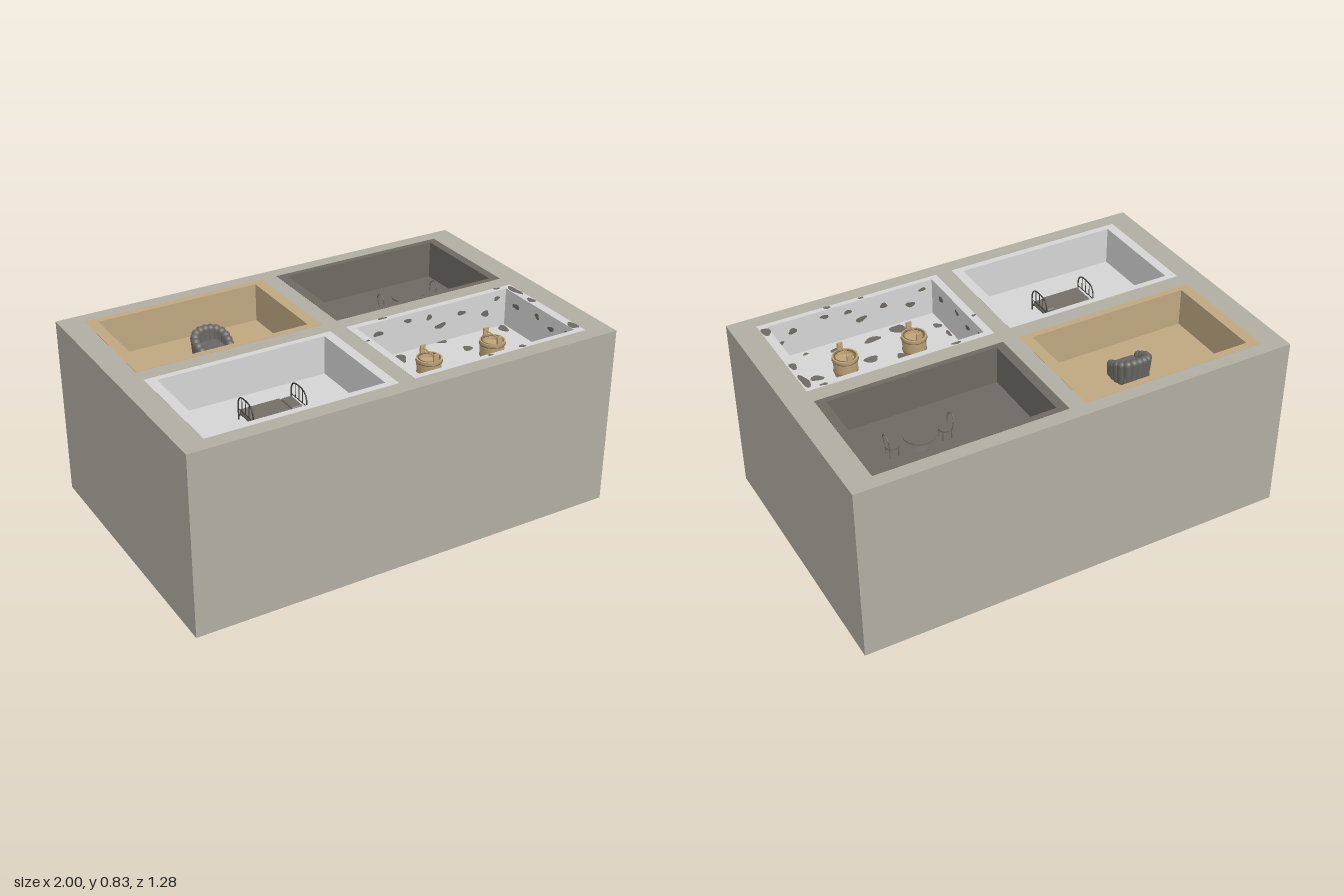
import * as THREE from 'three';
import { RoundedBoxGeometry } from 'three/addons/geometries/RoundedBoxGeometry.js';

const TOP = 0.83, FLOOR = 0.655;

const mat = (name, color, side = THREE.FrontSide) => {
  const m = new THREE.MeshStandardMaterial({ color, side });
  m.name = name;
  return m;
};

function add(parent, name, geo, material, x = 0, y = 0, z = 0) {
  const m = new THREE.Mesh(geo, material);
  m.name = name;
  m.position.set(x, y, z);
  parent.add(m);
  return m;
}

function group(parent, name, x = 0, y = 0, z = 0) {
  const g = new THREE.Group();
  g.name = name;
  g.position.set(x, y, z);
  parent.add(g);
  return g;
}

// Rectangle [x0, x1, z0, z1] as corner points (shape y is -z)
const rect = ([x0, x1, z0, z1]) =>
  [[x0, -z1], [x1, -z1], [x1, -z0], [x0, -z0]].map(([x, y]) => new THREE.Vector2(x, y));

// Upright rectangular frame with holes, from y0 to y1
function frame(outer, holes, y0, y1) {
  const s = new THREE.Shape(rect(outer));
  holes.forEach(h => s.holes.push(new THREE.Path(rect(h))));
  return new THREE.ExtrudeGeometry(s, { depth: y1 - y0, bevelEnabled: false })
    .rotateX(-Math.PI / 2).translate(0, y0, 0);
}

const tube = (pts, r, n = 24) => new THREE.TubeGeometry(
  new THREE.CatmullRomCurve3(pts.map(p => new THREE.Vector3(...p))), n, r, 8);

// Irregular flat patch in the xy plane
function patch(rx, ry, seed) {
  const pts = [];
  for (let i = 0; i < 14; i++) {
    const a = i / 14 * Math.PI * 2;
    const k = 1 + 0.16 * Math.sin(2 * a + seed * 1.7) + 0.13 * Math.sin(3 * a + seed * 2.9);
    pts.push(new THREE.Vector2(Math.cos(a) * rx * k, Math.sin(a) * ry * k));
  }
  return new THREE.ShapeGeometry(new THREE.Shape(pts));
}

// Scalloped tub armchair facing +z
function armchair(parent, m) {
  const g = group(parent, 'armchair', -0.43, FLOOR, -0.313);
  add(g, 'chairBase', new RoundedBoxGeometry(0.13, 0.04, 0.115, 3, 0.008), m, 0, 0.022, 0.005);
  add(g, 'seatCushion', new RoundedBoxGeometry(0.1, 0.028, 0.105, 4, 0.011), m, 0, 0.054, 0.013);
  const path = new THREE.CatmullRomCurve3([[-0.066, 0.046], [-0.068, 0], [-0.05, -0.037], [0, -0.05],
    [0.05, -0.037], [0.068, 0], [0.066, 0.046]].map(([x, z]) => new THREE.Vector3(x, 0, z)));
  for (let i = 0; i <= 12; i++) {
    const p = path.getPointAt(i / 12), lift = Math.sin(i / 12 * Math.PI);
    const h = 0.085 + 0.048 * lift;
    const roll = add(g, 'backRoll', new THREE.CapsuleGeometry(0.02, h - 0.04, 6, 16), m, p.x, h / 2, p.z);
    roll.rotation.set(p.z < 0 ? p.z * 2 : 0, 0, -p.x * 1.2);
  }
}

// Single bed along x with metal end frames
function bed(parent, frameMat, cloth) {
  const g = group(parent, 'bed', -0.457, FLOOR, 0.29);
  add(g, 'mattress', new RoundedBoxGeometry(0.235, 0.022, 0.125, 3, 0.008), cloth, 0, 0.03, 0);
  add(g, 'blanket', new RoundedBoxGeometry(0.185, 0.024, 0.134, 3, 0.008), cloth, -0.025, 0.032, 0);
  add(g, 'pillow', new RoundedBoxGeometry(0.05, 0.016, 0.095, 4, 0.008), cloth, 0.088, 0.045, 0);
  for (const s of [-1, 1]) {
    const end = group(g, s > 0 ? 'headFrame' : 'footFrame', s * 0.121, 0, 0);
    add(end, 'arch', tube([[0, 0, -0.062], [0, 0.08, -0.062], [0, 0.106, -0.045], [0, 0.114, 0],
      [0, 0.106, 0.045], [0, 0.08, 0.062], [0, 0, 0.062]], 0.003, 40), frameMat);
    add(end, 'crossbar', new THREE.CylinderGeometry(0.002, 0.002, 0.124, 8).rotateX(Math.PI / 2), frameMat, 0, 0.05, 0);
    for (const z of [-0.03, 0, 0.03])
      add(end, 'spindle', new THREE.CylinderGeometry(0.0017, 0.0017, 0.06, 6), frameMat, 0, 0.08, z);
    add(g, 'sideRail', new THREE.BoxGeometry(0.24, 0.008, 0.005), frameMat, 0, 0.02, s * 0.062);
  }
}

// Round table with two bistro chairs
function diningSet(parent, m) {
  const table = group(parent, 'table', 0.56, FLOOR, -0.3);
  add(table, 'tableTop', new THREE.CylinderGeometry(0.068, 0.068, 0.006, 40), m, 0, 0.06, 0);
  add(table, 'tableStem', new THREE.CylinderGeometry(0.006, 0.006, 0.058, 12), m, 0, 0.029, 0);
  add(table, 'tableFoot', new THREE.CylinderGeometry(0.01, 0.034, 0.006, 24), m, 0, 0.003, 0);
  for (const s of [-1, 1]) {
    const c = group(parent, 'chair', 0.56 + s * 0.118, FLOOR, -0.293);
    add(c, 'chairSeat', new THREE.CylinderGeometry(0.029, 0.029, 0.007, 24), m, 0, 0.045, 0);
    for (const x of [-1, 1]) for (const z of [-1, 1])
      add(c, 'chairLeg', new THREE.CylinderGeometry(0.0025, 0.0025, 0.045, 8), m, x * 0.019, 0.0225, z * 0.019);
    add(c, 'chairBack', tube([[s * 0.02, 0.044, -0.023], [s * 0.026, 0.09, -0.024], [s * 0.029, 0.108, 0],
      [s * 0.026, 0.09, 0.024], [s * 0.02, 0.044, 0.023]], 0.0028), m);
  }
}

// Wooden pail with two tall ears and a handle
function pail(parent, x, wood, hoop) {
  const g = group(parent, 'pail', x, FLOOR, 0.307);
  const prof = [[0, 0], [0.049, 0], [0.056, 0.09], [0.044, 0.09], [0.041, 0.07], [0, 0.07]];
  const pts = [];
  prof.forEach(([r, y], i) => { // doubled points keep the rims sharp
    pts.push(new THREE.Vector2(r, y));
    if (i > 0 && i < prof.length - 1) pts.push(new THREE.Vector2(r, y));
  });
  add(g, 'pailBody', new THREE.LatheGeometry(pts, 32), wood);
  for (const [y, r] of [[0.02, 0.051], [0.076, 0.055]])
    add(g, 'hoop', new THREE.TorusGeometry(r, 0.003, 8, 32).rotateX(Math.PI / 2), hoop, 0, y, 0);
  add(g, 'rimBand', new THREE.TorusGeometry(0.046, 0.004, 8, 32).rotateX(Math.PI / 2), hoop, 0, 0.088, 0);
  for (const s of [-1, 1])
    add(g, 'ear', new THREE.BoxGeometry(0.024, 0.045, 0.009), wood, 0, 0.103, s * 0.05);
  add(g, 'handle', new THREE.CylinderGeometry(0.0035, 0.0035, 0.1, 10).rotateX(Math.PI / 2), wood, 0, 0.114, 0);
}

export function createModel() {
  const model = new THREE.Group();
  model.name = 'fourRoomBlock';
  const stone = mat('stone', 0xb0ada1), tan = mat('tan', 0xbea680), dark = mat('darkBrownGrey', 0x6d6a62);
  const white = mat('paleGrey', 0xd4d4d4), metal = mat('charcoal', 0x3f3e3b);
  const leather = mat('leather', 0x676662), cloth = mat('blanketGrey', 0x736f67);
  const wood = mat('wood', 0xbea478), hoop = mat('hoopBrown', 0x7d694b);
  const spot = mat('spotGrey', 0x6d6a62, THREE.DoubleSide);

  // Block with four recesses
  const rooms = [
    ['tanRoom', tan, [-0.895, -0.04, -0.575, -0.04], [-0.845, -0.09, -0.543, -0.07]],
    ['darkRoom', dark, [0.035, 0.89, -0.575, -0.04], [0.078, 0.85, -0.547, -0.065]],
    ['paleRoom', white, [-0.895, -0.04, 0.035, 0.57], [-0.85, -0.085, 0.063, 0.54]],
    ['spottedRoom', white, [0.035, 0.89, 0.035, 0.57], [0.07, 0.85, 0.063, 0.545]],
  ];
  const block = [-1, 1, -0.64, 0.64];
  add(model, 'blockBase', frame(block, [], 0, FLOOR - 0.01), stone);
  add(model, 'blockRim', frame(block, rooms.map(r => r[2]), FLOOR - 0.01, TOP), stone);
  for (const [name, m, outer, hole] of rooms) {
    const g = group(model, name);
    add(g, 'walls', frame(outer, [hole], FLOOR - 0.01, TOP + 0.001), m);
    add(g, 'floor', frame(hole, [], FLOOR - 0.01, FLOOR), m);
  }

  // Spots on floor and rim: x, z, half width, half depth
  const spots = group(model, 'spots');
  [[0.26, 0.115, 0.032, 0.037], [0.21, 0.045, 0.02, 0.009], [0.51, 0.07, 0.024, 0.014], [0.57, 0.18, 0.026, 0.02],
    [0.82, 0.1, 0.02, 0.035], [0.81, 0.045, 0.016, 0.009], [0.87, 0.1, 0.018, 0.045], [0.09, 0.22, 0.022, 0.02],
    [0.047, 0.195, 0.01, 0.008], [0.11, 0.115, 0.012, 0.01], [0.2, 0.165, 0.01, 0.008], [0.63, 0.225, 0.02, 0.018],
    [0.72, 0.21, 0.012, 0.009], [0.34, 0.29, 0.025, 0.035], [0.47, 0.345, 0.038, 0.02], [0.4, 0.48, 0.038, 0.02],
    [0.265, 0.5, 0.032, 0.037], [0.1, 0.44, 0.02, 0.018], [0.085, 0.36, 0.01, 0.024], [0.22, 0.44, 0.012, 0.01],
    [0.57, 0.48, 0.025, 0.02], [0.57, 0.558, 0.018, 0.01], [0.83, 0.44, 0.018, 0.02], [0.87, 0.51, 0.018, 0.035],
    [0.73, 0.33, 0.028, 0.02], [0.87, 0.22, 0.018, 0.022], [0.7, 0.52, 0.012, 0.009], [0.41, 0.558, 0.012, 0.008],
  ].forEach(([x, z, rx, rz], i) => {
    const onRim = x < 0.07 || x > 0.85 || z < 0.06 || z > 0.545;
    add(spots, 'spot', patch(rx, rz, i).rotateX(-Math.PI / 2), spot, x, onRim ? TOP + 0.003 : FLOOR + 0.002, z);
  });
  // Spots on the walls: position along the wall, height, half width, half height
  [[0.12, 0.73, 0.016, 0.01], [0.18, 0.775, 0.022, 0.013], [0.33, 0.8, 0.02, 0.01], [0.44, 0.79, 0.016, 0.012],
    [0.5, 0.735, 0.027, 0.013], [0.61, 0.77, 0.02, 0.012], [0.74, 0.735, 0.022, 0.014], [0.8, 0.795, 0.016, 0.01],
  ].forEach(([x, y, rx, ry], i) => {
    add(spots, 'backWallSpot', patch(rx, ry, i), spot, x, y, 0.065);
    add(spots, 'frontWallSpot', patch(rx, ry, i + 9), spot, 0.92 - x, y, 0.543);
    if (i % 2) {
      const z = 0.04 + x * 0.58;
      add(spots, 'leftWallSpot', patch(rx, ry, i + 4).rotateY(Math.PI / 2), spot, 0.848, y, z);
      add(spots, 'rightWallSpot', patch(rx, ry, i + 6).rotateY(Math.PI / 2), spot, 0.072, y, 0.6 - z);
    }
  });

  // Furnishings
  armchair(model, leather);
  bed(model, metal, cloth);
  diningSet(model, dark);
  pail(model, 0.28, wood, hoop);
  pail(model, 0.605, wood, hoop);
  return model;
}
